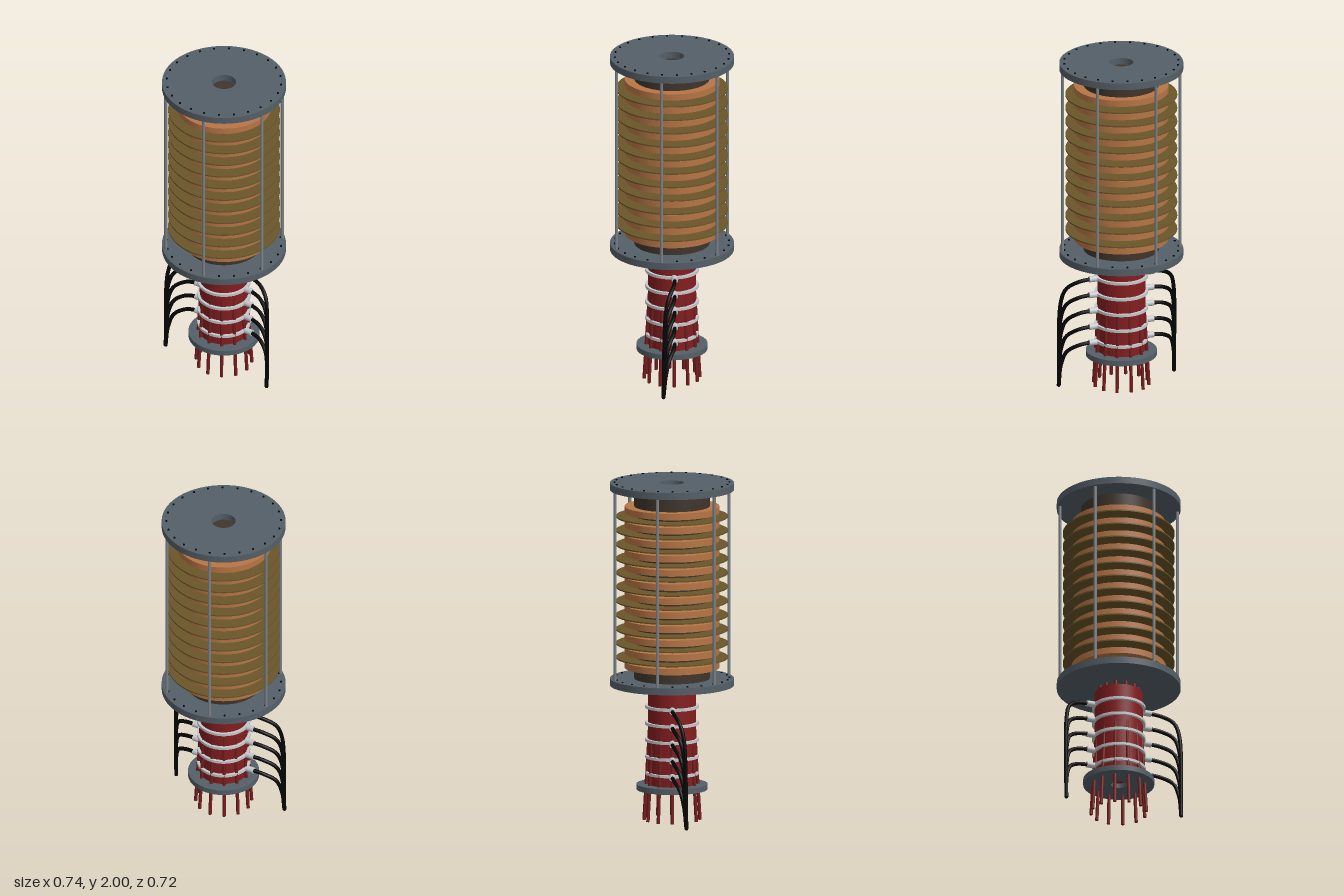
import * as THREE from 'three';
import { toCreasedNormals } from 'three/addons/utils/BufferGeometryUtils.js';

const paint = (name, color) => {
  const m = new THREE.MeshStandardMaterial({ color });
  m.name = name;
  return m;
};

export function createModel() {
  const steel = paint('slate steel', 0x545f68);
  const rodGrey = paint('rod grey', 0x7c8288);
  const copper = paint('copper', 0xb87545);
  const brown = paint('dark brown', 0x3f352c);
  const olive = paint('olive', 0x6a5629);
  const red = paint('deep red', 0x851d1f);
  const strandRed = paint('strand red', 0x741d1d);
  const silver = paint('silver', 0xc6c9cc);
  const black = paint('black', 0x040404);

  const model = new THREE.Group();
  const add = (name, geometry, material, x = 0, y = 0, z = 0) => {
    const mesh = new THREE.Mesh(geometry, material);
    mesh.name = name;
    mesh.position.set(x, y, z);
    model.add(mesh);
    return mesh;
  };
  const drum = (r, h, sides = 64) => new THREE.CylinderGeometry(r, r, h, sides);

  // Flat round plate with a hole in the middle, its underside at y = 0
  const plate = (r, hole, depth) => {
    const shape = new THREE.Shape().absarc(0, 0, r, 0, Math.PI * 2, false);
    shape.holes.push(new THREE.Path().absarc(0, 0, hole, 0, Math.PI * 2, true));
    const g = new THREE.ExtrudeGeometry(shape, { depth, bevelEnabled: false, curveSegments: 64 });
    g.rotateX(-Math.PI / 2);
    return toCreasedNormals(g, 0.6);
  };

  // Round bar between two points
  const bar = (name, a, b, r, material) => {
    const dir = b.clone().sub(a);
    const mesh = add(name, drum(r, dir.length(), 12), material);
    mesh.position.copy(a).add(b).multiplyScalar(0.5);
    mesh.quaternion.setFromUnitVectors(new THREE.Vector3(0, 1, 0), dir.normalize());
  };
  const polar = (r, degrees, y) => {
    const a = THREE.MathUtils.degToRad(degrees);
    return new THREE.Vector3(r * Math.cos(a), y, r * Math.sin(a));
  };

  // End plates and their rings of bolts
  add('topPlate', plate(0.361, 0.07, 0.041), steel, 0, 1.953, 0);
  add('middlePlate', plate(0.361, 0.07, 0.041), steel, 0, 0.798, 0);
  for (const y of [1.995, 0.84]) {
    for (let i = 0; i < 24; i++) {
      const p = polar(0.334, i * 15, y);
      add('bolt', drum(0.006, 0.01, 10), black, p.x, p.y, p.z);
    }
  }

  // Tie rods
  for (let i = 0; i < 6; i++) {
    bar('tieRod', polar(0.344, 15 + i * 60, 0.83), polar(0.344, 15 + i * 60, 1.97), 0.009, rodGrey);
  }

  // Core with copper coils and thin insulating discs between them
  add('core', drum(0.22, 1.116), brown, 0, 1.396, 0);
  for (let i = 0; i < 12; i++) {
    const y = 0.921 + i * 0.0833;
    add('coil', drum(0.276, 0.038), copper, 0, y, 0);
    if (i < 11) add('insulatingDisc', drum(0.326, 0.008), olive, 0, y + 0.042, 0);
  }

  // Lower column, foot plate and splayed strands
  add('column', drum(0.14, 0.555, 48), red, 0, 0.4895, 0);
  add('footPlate', plate(0.207, 0.045, 0.032), steel, 0, 0.183, 0);
  for (let i = 0; i < 12; i++) {
    bar('strand', polar(0.115, i * 30, 0.803), polar(0.163, i * 30, 0.002), 0.01, strandRed);
  }

  // Clamp bands, each with a connector and drooping cable on both sides
  for (let i = 0; i < 5; i++) {
    const y = 0.28 + i * 0.0982;
    add('clampBand', plate(0.156, 0.138, 0.016), silver, 0, y - 0.008, 0);
    for (const s of [-1, 1]) {
      const sleeve = drum(0.018, 0.054, 20).rotateZ(Math.PI / 2);
      add('connector', sleeve, silver, s * 0.174, y, 0);
      const path = new THREE.CatmullRomCurve3([
        [0.195, y, 0], [0.26, y - 0.012, 0.012], [0.325, y - 0.055, 0.043],
        [0.352, y - 0.14, 0.065], [0.36, 0.008, 0.08],
      ].map(([px, py, pz]) => new THREE.Vector3(s * px, py, pz)));
      add('cable', new THREE.TubeGeometry(path, 36, 0.0115, 10), black);
      const end = path.getPoint(1);
      add('cableEnd', new THREE.SphereGeometry(0.0115, 10, 8), black, end.x, 0.0115, end.z);
    }
  }
  return model;
}
